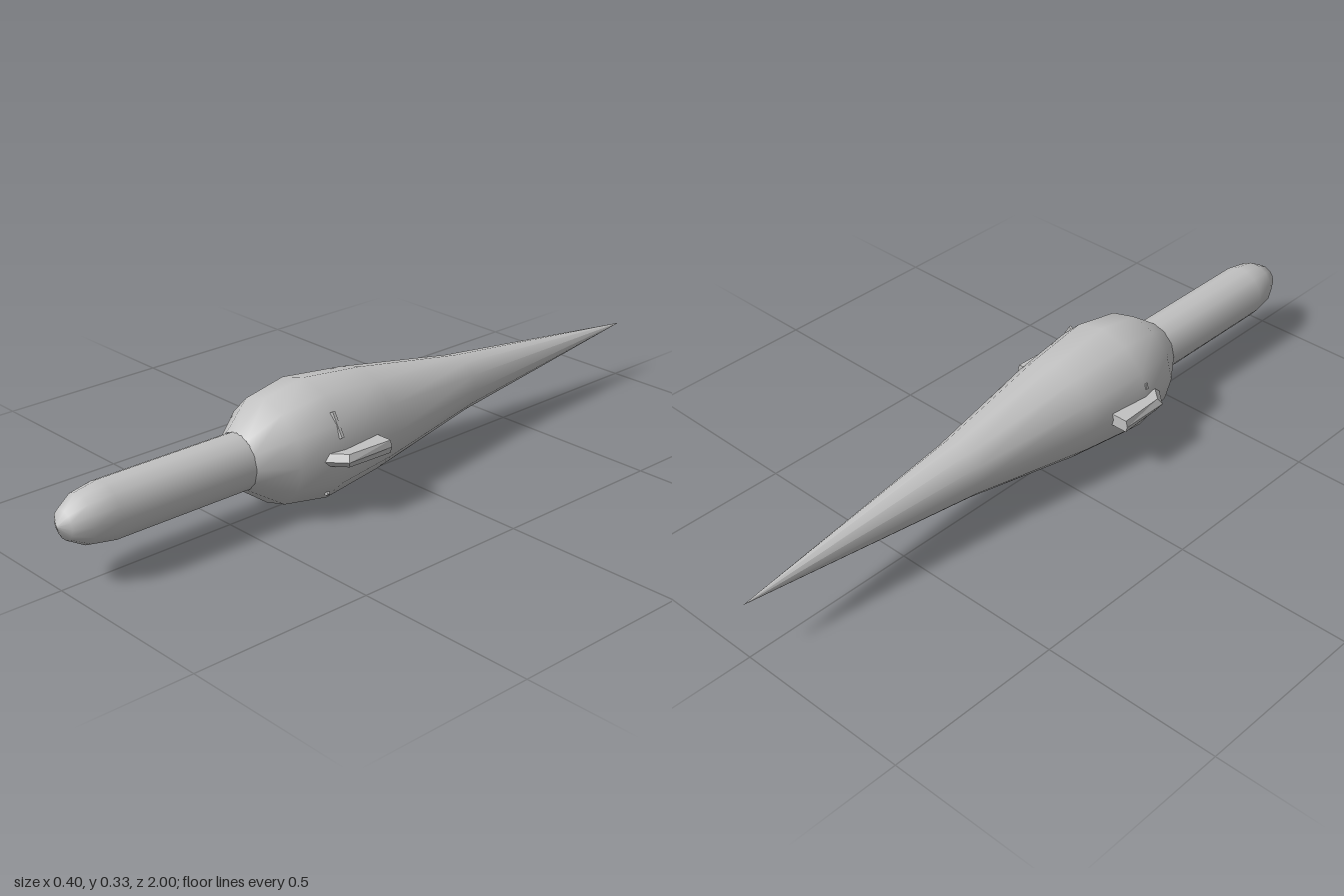
import * as THREE from 'three';

const AXIS_Y = 0.165;

export function createModel() {
  const group = new THREE.Group();
  const grey = new THREE.MeshStandardMaterial({ color: 0xc2c2c2 });
  grey.name = 'lightGrey';

  const add = (name, geometry) => {
    const mesh = new THREE.Mesh(geometry, grey);
    mesh.name = name;
    mesh.position.y = AXIS_Y;
    group.add(mesh);
    return mesh;
  };

  // Revolve [radius, z] pairs around the long axis
  const revolve = (profile, sides, start = 0) =>
    new THREE.LatheGeometry(profile.map(([r, z]) => new THREE.Vector2(r, z)), sides, start)
      .rotateX(Math.PI / 2);

  // Twelve-sided teardrop body with a long pointed tail
  add('body', revolve([
    [0, -1], [0.08, -0.3], [0.142, 0.06], [0.164, 0.25], [0.142, 0.38], [0.077, 0.47],
  ], 12));

  // Round nose tube with a domed end
  add('nose', revolve([
    [0.076, 0.4], [0.076, 0.87], [0.065, 0.935], [0.038, 0.982], [0, 1],
  ], 14, Math.PI / 2));

  // Side fins: outline at mid height, drawn in slightly above and below
  const finGeometry = () => {
    const outer = [[0.12, 0.13], [0.198, 0.13], [0.198, 0.275], [0.12, 0.345]];
    const inner = [[0.12, 0.13], [0.193, 0.13], [0.188, 0.265], [0.12, 0.325]];
    const rings = [[inner, -0.0175], [outer, 0], [inner, 0.0175]]
      .map(([ring, y]) => ring.map(([x, z]) => [x, y, z]));
    const p = [];
    const quad = (a, b, c, d) => p.push(...a, ...b, ...c, ...a, ...c, ...d);
    for (let k = 0; k < 2; k++) {
      for (let i = 0; i < 4; i++) {
        const j = (i + 1) % 4;
        quad(rings[k][j], rings[k][i], rings[k + 1][i], rings[k + 1][j]);
      }
    }
    quad(...rings[0]);
    quad(...rings[2].reverse());
    const g = new THREE.BufferGeometry();
    g.setAttribute('position', new THREE.Float32BufferAttribute(p, 3));
    g.computeVertexNormals();
    return g;
  };
  add('leftFin', finGeometry());
  add('rightFin', finGeometry().rotateZ(Math.PI));

  // Narrow ridges almost flush with the hull: [angle in degrees, radius, z, length]
  [
    [30, 0.158, 0.26, 0.07],
    [-47, 0.156, 0.27, 0.012],
    [164, 0.155, 0.26, 0.016],
    [196, 0.155, 0.26, 0.012],
  ].forEach(([degrees, radius, z, length], i) => {
    const angle = THREE.MathUtils.degToRad(degrees);
    const ridge = add('ridge' + (i + 1), new THREE.BoxGeometry(0.012, length, 0.008));
    ridge.position.set(radius * Math.cos(angle), AXIS_Y + radius * Math.sin(angle), z);
    ridge.rotation.z = angle;
  });

  return group;
}
